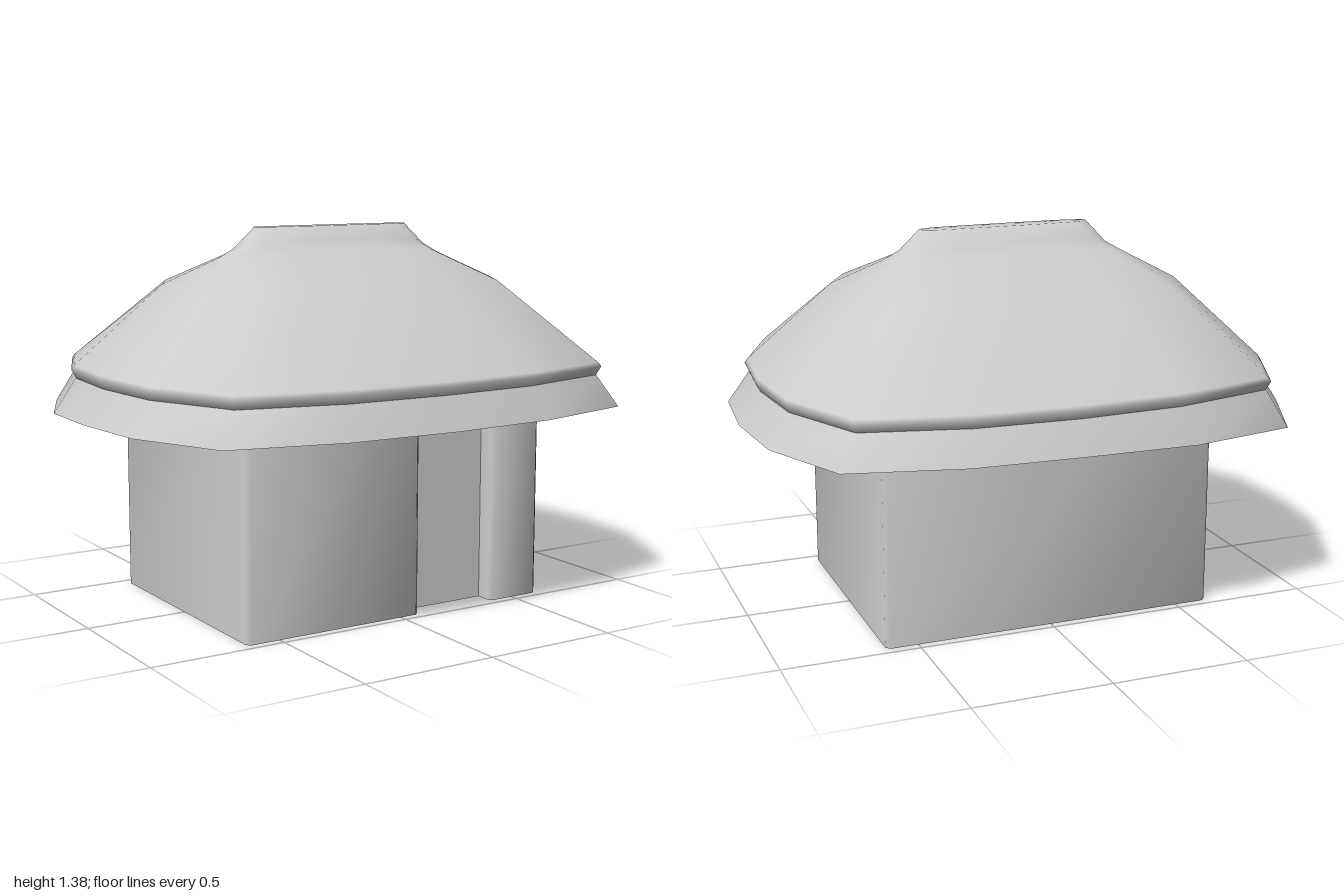
import * as THREE from 'three';
import { toCreasedNormals } from 'three/addons/utils/BufferGeometryUtils.js';

// One quarter of the roof plan as fractions of its half-width and half-depth
const QUARTER = [[1, 0], [0.97, 0.42], [0.82, 0.85], [0.41, 0.975]];
const PLAN = [
  ...QUARTER,
  [0, 1],
  ...QUARTER.slice(1).reverse().map(([x, z]) => [-x, z]),
  ...QUARTER.map(([x, z]) => [-x, -z]),
  [0, -1],
  ...QUARTER.slice(1).reverse().map(([x, z]) => [x, -z]),
];

// Skin a stack of rings [halfX, halfZ, y, drop at the two ends, drop at the back left corner]
function loft(rings) {
  const n = PLAN.length, pos = [], index = [];
  for (const [rx, rz, y, endDrop = 0, cornerDrop = 0] of rings)
    for (const [u, v] of PLAN) {
      const corner = u < 0 && v < 0 ? u * v : 0;
      pos.push(u * rx, y - endDrop * Math.abs(u) ** 6 - cornerDrop * corner, v * rz);
    }
  for (let i = 0; i < rings.length - 1; i++)
    for (let j = 0; j < n; j++) {
      const a = i * n + j, b = i * n + (j + 1) % n;
      index.push(a, a + n, b, b, a + n, b + n);
    }
  const g = new THREE.BufferGeometry();
  g.setAttribute('position', new THREE.Float32BufferAttribute(pos, 3));
  g.setIndex(index);
  g.computeVertexNormals();
  return g;
}

// Upright sheet standing on a closed outline of [x, z] points
function wallSheet(outline, height) {
  const pos = [];
  outline.forEach(([x0, z0], i) => {
    const [x1, z1] = outline[(i + 1) % outline.length];
    pos.push(x0, 0, z0, x1, 0, z1, x1, height, z1, x0, 0, z0, x1, height, z1, x0, height, z0);
  });
  const g = new THREE.BufferGeometry();
  g.setAttribute('position', new THREE.Float32BufferAttribute(pos, 3));
  return toCreasedNormals(g, 0.9);
}

export function createModel() {
  const model = new THREE.Group();
  model.name = 'hut';
  const mat = new THREE.MeshStandardMaterial({ color: 0xcccccc, side: THREE.DoubleSide });
  const add = (name, geometry) => {
    const mesh = new THREE.Mesh(geometry, mat);
    mesh.name = name;
    model.add(mesh);
  };

  // Walls: chamfered box outline with a shallow door recess in the front
  const L = -0.625, R = 0.617, Z = 0.47, c = 0.015, back = Z - 0.07;
  add('walls', wallSheet([
    [L, Z - c], [L + c, Z],
    [0.08 - c, Z], [0.08, Z - c], [0.08, back], [0.4, back], [0.4, Z - c], [0.4 + c, Z],
    [R - c, Z], [R, Z - c],
    [R, -Z + c], [R - c, -Z], [L + c, -Z], [L, -Z + c],
  ], 0.95));

  // Lower roof layer: flared eave
  add('eave', loft([[1, 0.79, 0.72, 0, 0.025], [0.92, 0.728, 0.837]]));

  // Upper roof layer: rolled lip, dome and ridge cap
  add('roof', loft([
    [0.9, 0.715, 0.835],
    [0.917, 0.732, 0.836],
    [0.934, 0.746, 0.868],
    [0.925, 0.736, 0.882],
    [0.63, 0.39, 1.172],
    [0.46, 0.115, 1.29, 0.03],
    [0.4, 0.09, 1.328, 0.035],
    [0.325, 0.037, 1.375],
    [0.3, 0, 1.375],
  ]));

  // Hollow underside of the roof
  add('roofUnderside', loft([
    [0, 0, 1.04],
    [0.3, 0.24, 1.02],
    [0.6, 0.474, 0.935],
    [0.77, 0.608, 0.87],
    [1, 0.79, 0.72, 0, 0.025],
  ]));

  return model;
}
